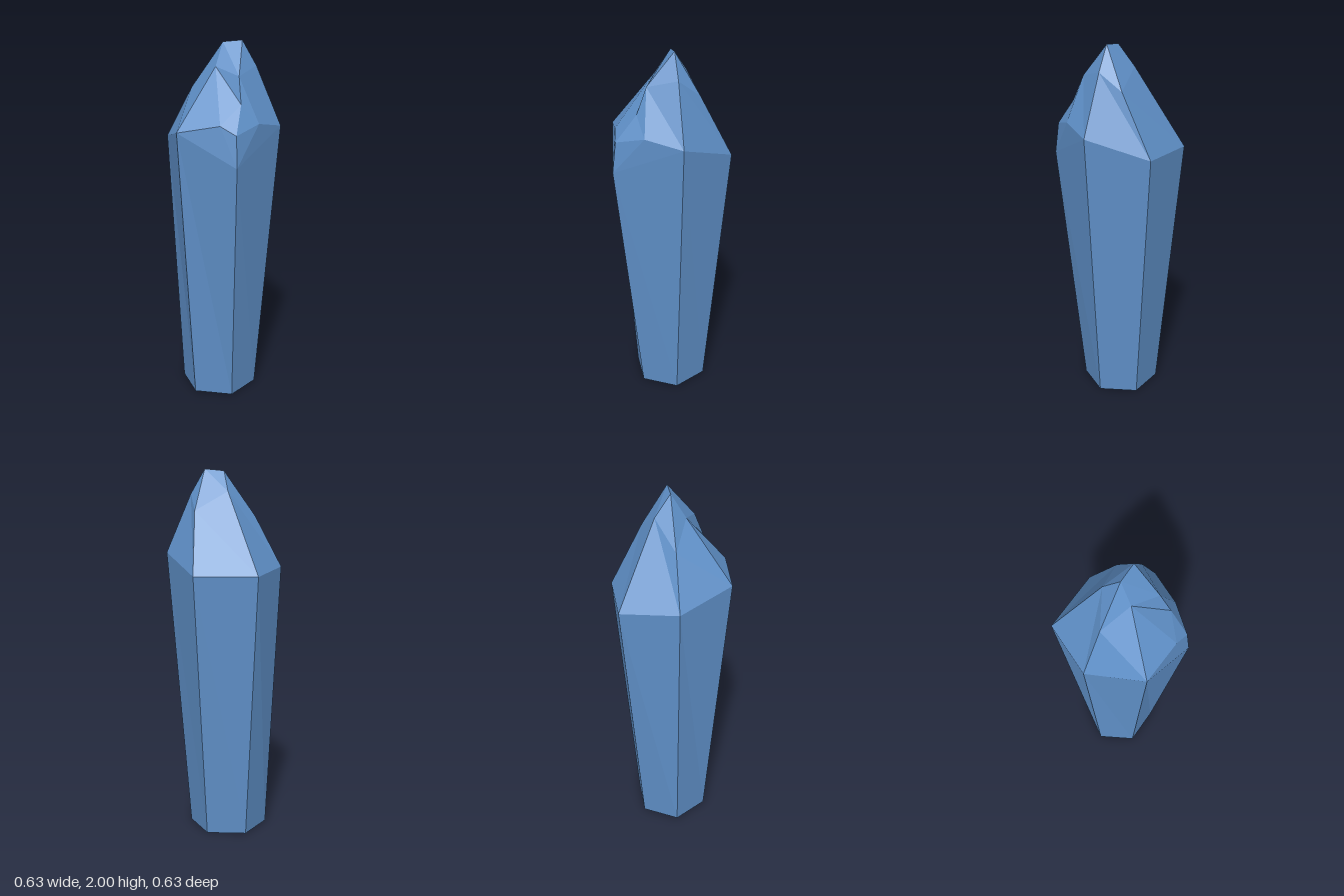
import * as THREE from 'three';

// Corners of the crystal
const P = {
  // base hexagon
  bL: [-0.24, 0, -0.02], bFL: [-0.13, 0, 0.165], bFR: [0.085, 0, 0.165],
  bR: [0.19, 0, -0.02], bBR: [0.085, 0, -0.205], bBL: [-0.13, 0, -0.205],
  // shoulder
  L: [-0.313, 1.48, -0.022], FL: [-0.19, 1.555, 0.27], FR: [0.132, 1.39, 0.315],
  R: [0.313, 1.555, -0.022], BR: [0.145, 1.45, -0.315], BL: [-0.19, 1.45, -0.315],
  // chipped front-right corner
  chipLow: [0.125, 1.555, 0.295], chipFront: [0.04, 1.6, 0.285], chipSide: [0.22, 1.595, 0.16],
  notch: [0.13, 1.695, 0.185],
  // tip
  tipL: [0, 1.99, -0.015], tipR: [0.103, 2, -0.015],
  capL: [-0.17, 1.75, -0.016], capFL: [-0.025, 1.87, 0.06], capFR: [0.11, 1.83, 0.13],
  capR: [0.178, 1.87, -0.02], capBR: [0.148, 1.78, -0.14], capBL: [-0.025, 1.88, -0.1],
};

// Flat faces from named corners, each fanned into triangles facing outwards
function facets(faces) {
  const pos = [];
  const centre = new THREE.Vector3(0, 1.3, 0);
  for (const face of faces) {
    const v = face.split(' ').map((k) => new THREE.Vector3(...P[k]));
    for (let i = 1; i < v.length - 1; i++) {
      const [a, b, c] = [v[0], v[i], v[i + 1]];
      const n = b.clone().sub(a).cross(c.clone().sub(a));
      const order = n.dot(a.clone().sub(centre)) < 0 ? [a, c, b] : [a, b, c];
      for (const p of order) pos.push(p.x, p.y, p.z);
    }
  }
  const g = new THREE.BufferGeometry();
  g.setAttribute('position', new THREE.Float32BufferAttribute(pos, 3));
  g.computeVertexNormals();
  return g;
}

export function createModel() {
  const group = new THREE.Group();
  group.name = 'crystal';
  const blue = new THREE.MeshStandardMaterial({ color: 0x5f90c8 });
  blue.name = 'crystal blue';
  blue.flatShading = true;

  const add = (name, faces) => {
    const mesh = new THREE.Mesh(facets(faces), blue);
    mesh.name = name;
    group.add(mesh);
  };

  // Six-sided shaft widening upwards, with its base
  const ring = ['L', 'FL', 'FR', 'R', 'BR', 'BL'];
  const shaft = ring.map((k, i) => {
    const next = ring[(i + 1) % 6];
    return `${k} b${k} b${next} ${next}`;
  });
  add('shaft', [...shaft, ring.map((k) => 'b' + k).join(' ')]);

  // Small facets of the chipped corner
  add('chippedCorner', [
    'FL FR chipFront', 'FR chipLow chipFront', 'FR chipSide chipLow', 'FR R chipSide',
    'chipFront chipLow notch', 'chipLow chipSide notch',
  ]);

  // Long sloping facets of the point
  add('point', [
    'capL L FL capFL', 'capFL FL chipFront', 'capFL chipFront notch', 'capFL notch capFR',
    'capFR notch chipSide', 'capFR chipSide R', 'capFR R capR',
    'capR R BR capBR', 'capBR BR BL capBL', 'capBL BL L capL',
  ]);

  // Steeper cap ending in a short ridge
  add('tip', [
    'tipL capL capFL', 'tipL capFL capFR', 'tipL capFR tipR', 'tipR capFR capR',
    'tipR capR capBR', 'tipR capBR capBL', 'tipR capBL tipL', 'tipL capBL capL',
  ]);
  return group;
}
